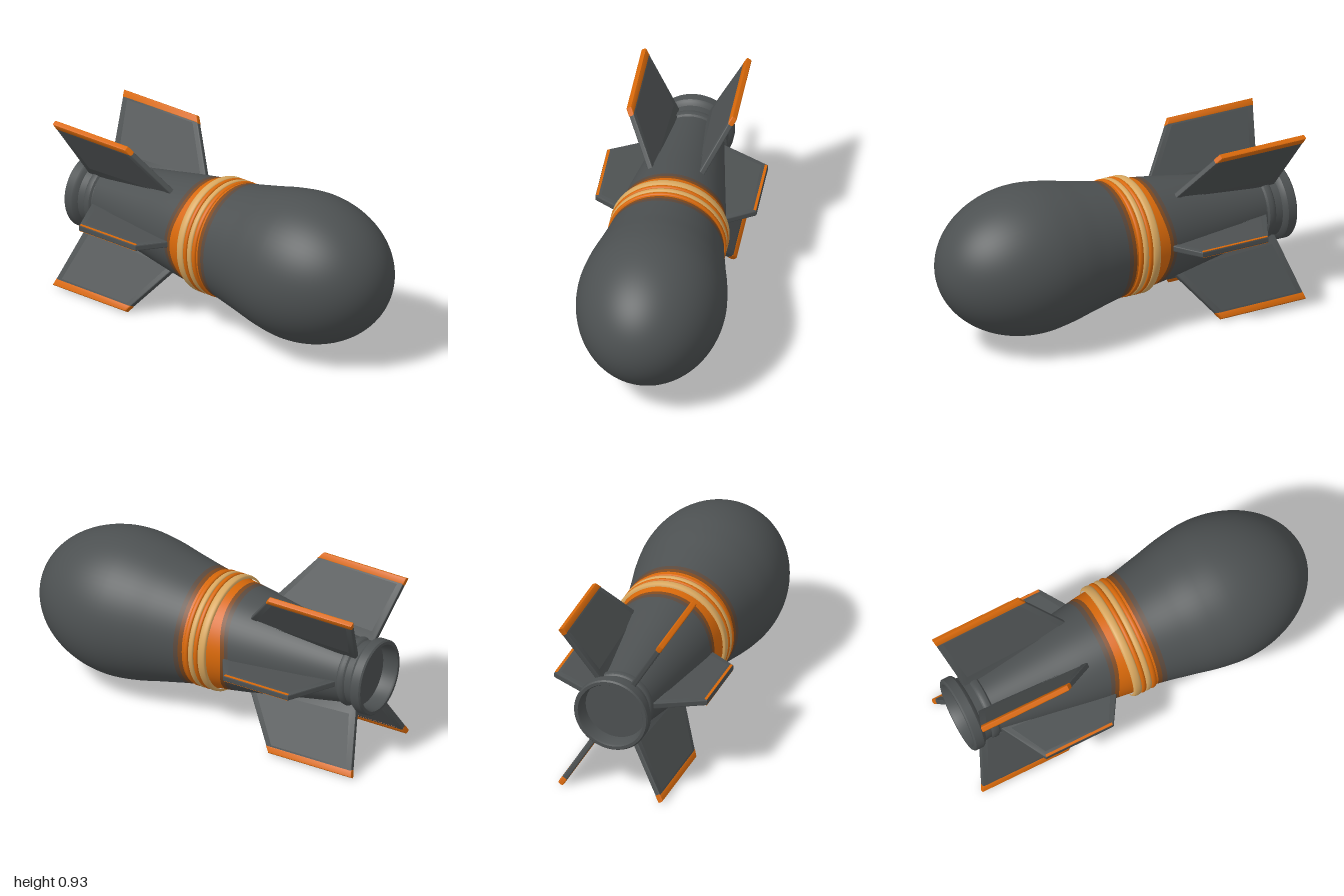
import * as THREE from 'three';
import { toCreasedNormals } from 'three/addons/utils/BufferGeometryUtils.js';
import { ParametricGeometry } from 'three/addons/geometries/ParametricGeometry.js';

const AXIS_Y = 0.47;
const WIDE = 0.988; // the hull is slightly taller than wide
const TALL = 1.008;

function material(name, color) {
  const m = new THREE.MeshStandardMaterial({ color });
  m.name = name;
  return m;
}

export function createModel() {
  const model = new THREE.Group();
  model.name = 'finnedBomb';
  const body = new THREE.Group();
  body.name = 'body';
  body.position.y = AXIS_Y;
  model.add(body);

  const grey = material('darkGrey', 0x4d5152);
  const orange = material('orange', 0xd9690a);
  const rust = material('rust', 0x804a20);
  const soot = material('sootBrown', 0x5c4a3e);
  const tan = material('tan', 0xd9a860);

  function add(parent, name, geometry, mat) {
    const mesh = new THREE.Mesh(geometry, mat);
    mesh.name = name;
    parent.add(mesh);
    return mesh;
  }

  // Hull radius along the axis
  const hull = new THREE.CubicInterpolant(
    [-0.86, -0.5, -0.3, -0.15, 0, 0.2, 0.35, 0.5, 0.65],
    [0.169, 0.231, 0.266, 0.288, 0.304, 0.344, 0.377, 0.393, 0.375], 1);
  const radius = (z) => hull.evaluate(z)[0];

  // Rear paint edges reach further back at the sides
  const sideways = (a) => Math.pow(Math.abs(Math.cos(a)), 5);

  // A painted stretch of hull between two edges
  function hullSection(name, back, front, mat, steps, backBulge = 0, frontBulge = 0) {
    add(body, name, new ParametricGeometry((u, v, p) => {
      const a = u * Math.PI * 2;
      const z0 = back - backBulge * sideways(a);
      const z1 = front - frontBulge * sideways(a);
      const z = THREE.MathUtils.lerp(z0, z1, v);
      const r = radius(z);
      p.set(r * WIDE * Math.cos(a), r * TALL * Math.sin(a), z);
    }, 72, steps), mat);
  }
  hullSection('tailCone', -0.84, -0.215, grey, 20, 0, 0.03);
  hullSection('rearSootFade', -0.215, -0.19, soot, 2, 0.03, 0.035);
  hullSection('rearRustFade', -0.19, -0.168, rust, 2, 0.035, 0.035);
  hullSection('orangeBand', -0.168, 0.012, orange, 8, 0.035, 0);
  hullSection('frontRustFade', 0.012, 0.035, rust, 2);
  hullSection('frontSootFade', 0.035, 0.06, soot, 2);
  hullSection('forwardHull', 0.06, 0.5, grey, 18);

  // Rounded nose
  const nose = new THREE.SphereGeometry(1, 72, 28, 0, Math.PI * 2, 0, Math.PI / 2);
  nose.rotateX(Math.PI / 2).scale(0.393 * WIDE, 0.393 * TALL, 0.5).translate(0, 0, 0.5);
  add(body, 'nose', nose, grey);

  // Raised beads around the waist: centre z, half width, colour
  const beads = [
    [-0.012, 0.014, orange], [-0.042, 0.016, tan],
    [-0.071, 0.013, orange], [-0.106, 0.023, tan],
  ];
  for (const [z, half, mat] of beads) {
    const points = [];
    for (let i = 0; i <= 8; i++) {
      const t = (i / 8) * Math.PI;
      points.push(new THREE.Vector2(0.295 + 0.017 * Math.sqrt(Math.sin(t) + 1e-9), z - half * Math.cos(t)));
    }
    add(body, 'waistRing', new THREE.LatheGeometry(points, 72).rotateX(Math.PI / 2), mat);
  }

  // Tail cup with rim, neck and bead
  const tailProfile = [
    [0, -0.92], [0.166, -0.92], [0.174, -0.99], [0.18, -1], [0.196, -1], [0.203, -0.992],
    [0.203, -0.947], [0.196, -0.937], [0.178, -0.925], [0.174, -0.888], [0.182, -0.88],
    [0.185, -0.864], [0.182, -0.848], [0.172, -0.84], [0.17, -0.82],
  ].map(([r, z]) => new THREE.Vector2(r, z));
  const tail = toCreasedNormals(new THREE.LatheGeometry(tailProfile, 64), 0.6);
  add(body, 'tailCup', tail.rotateX(Math.PI / 2), grey);

  // Fin plates are drawn as (radius, z) outlines and extruded about their middle
  function plate(outline, thickness, bevel, hole) {
    const shape = new THREE.Shape(outline);
    if (hole) shape.holes.push(new THREE.Path(hole));
    const geometry = new THREE.ExtrudeGeometry(shape, {
      depth: thickness - 2 * bevel, bevelEnabled: bevel > 0,
      bevelThickness: bevel, bevelSize: bevel, bevelOffset: -bevel, bevelSegments: 2,
    });
    geometry.translate(0, 0, -thickness / 2 + bevel);
    return toCreasedNormals(geometry.rotateX(Math.PI / 2), 0.7);
  }

  // Corners: root front, tip front, tip back, root back
  function addFin(name, angle, corners, thickness) {
    const [rf, tf, tb, rb] = corners.map(([r, z]) => new THREE.Vector2(r, z));
    const at = (u, v) => rf.clone().lerp(tf, u).lerp(rb.clone().lerp(tb, u), v);
    const region = (u0, u1, v0, v1) => [at(u0, v0), at(u1, v0), at(u1, v1), at(u0, v1)];
    const fin = new THREE.Group();
    fin.name = name;
    fin.rotation.z = angle;
    body.add(fin);
    add(fin, 'finFrame', plate(region(0, 0.995, 0, 1), thickness, 0.008, region(0.12, 0.9, 0.05, 0.95)), grey);
    add(fin, 'finPanel', plate(region(0.05, 0.95, 0.02, 0.98), thickness - 0.007, 0), grey);
    return { fin, region };
  }

  // Four large diagonal fins with painted tips
  const large = [[0.2, -0.264], [0.538, -0.5], [0.536, -1], [0.167, -0.918]];
  const tilt = THREE.MathUtils.degToRad(59);
  for (const angle of [tilt, Math.PI - tilt, Math.PI + tilt, -tilt]) {
    const { fin, region } = addFin('diagonalFin', angle, large, 0.03);
    add(fin, 'finTip', plate(region(0.89, 1, -0.002, 1.002), 0.032, 0.008), orange);
  }

  // Two small side fins with a thin painted stripe on each face
  const small = [[0.2, -0.17], [0.422, -0.31], [0.422, -0.7], [0.15, -0.845]];
  for (const angle of [0, Math.PI]) {
    const { fin } = addFin('sideFin', angle, small, 0.034);
    for (const side of [-1, 1]) {
      const stripe = add(fin, 'sideFinStripe', new THREE.BoxGeometry(0.014, 0.005, 0.385), orange);
      stripe.position.set(0.411, side * 0.0148, -0.505);
    }
  }
  return model;
}
